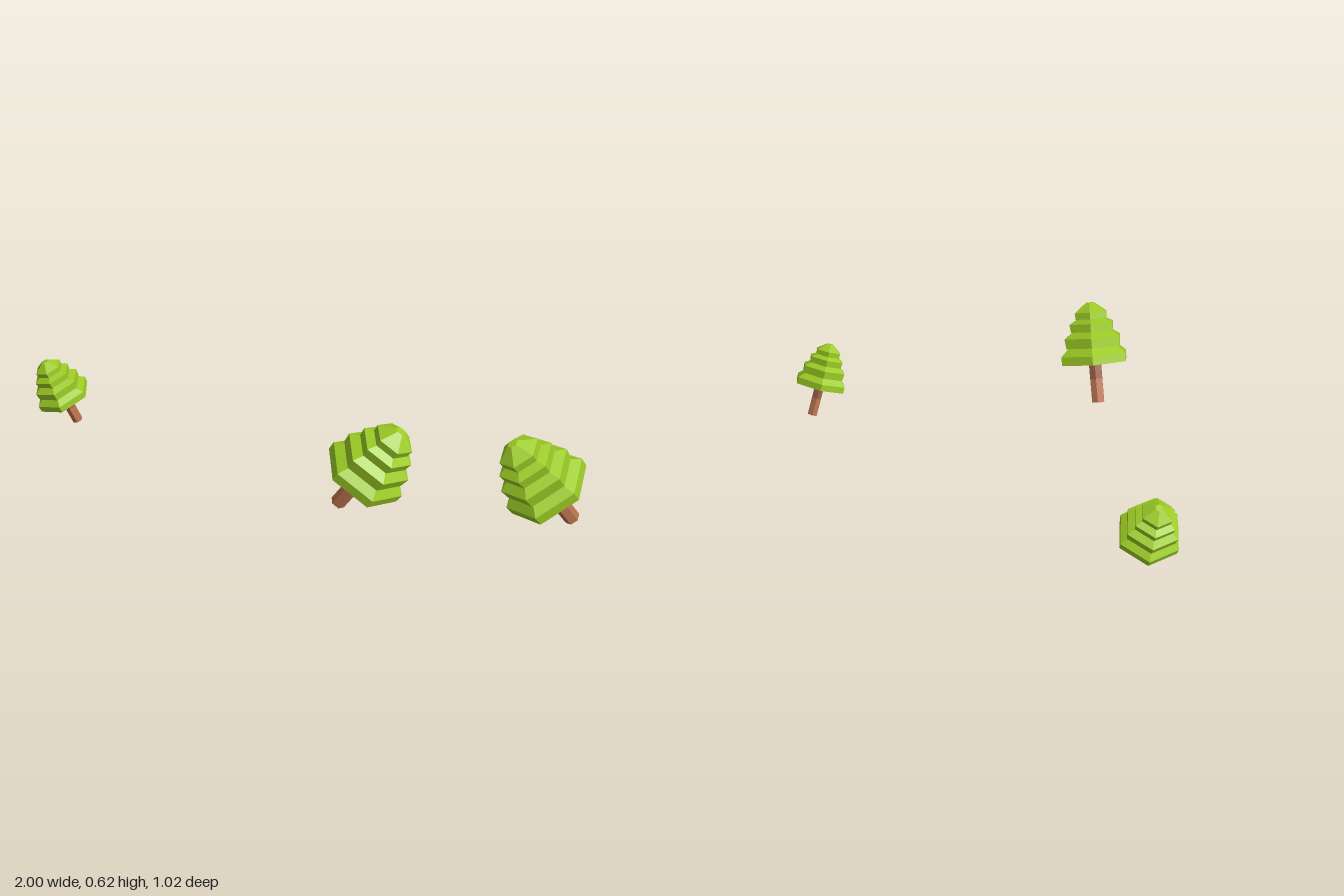
import * as THREE from 'three';

const SIDES = 6;
const TRUNK_R = 0.043;

const leafGreen = new THREE.MeshStandardMaterial({ color: 0x9ccb25 });
const trunkBrown = new THREE.MeshStandardMaterial({ color: 0xbd7450 });
const trunkDark = new THREE.MeshStandardMaterial({ color: 0x9a5f48 });
leafGreen.name = 'leafGreen';
trunkBrown.name = 'trunkBrown';
trunkDark.name = 'trunkDark';

// Faceted six-sided solid from a profile of [radius, height] pairs, bottom to top
function hexLathe(name, profile, material) {
  const points = profile.map(([r, h]) => new THREE.Vector2(r, h));
  const geometry = new THREE.LatheGeometry(points, SIDES).toNonIndexed();
  geometry.computeVertexNormals();
  const mesh = new THREE.Mesh(geometry, material);
  mesh.name = name;
  return mesh;
}

// Foliage tiers: bottom height, top height, bottom radius, top radius, radius where the next tier begins
const TIERS = [
  [0.253, 0.306, 0.226, 0.228, 0.174],
  [0.352, 0.412, 0.188, 0.195, 0.136],
  [0.448, 0.497, 0.147, 0.153, 0.098],
  [0.524, 0.564, 0.108, 0.111, 0.028],
];
const TOP = 0.622;

function makeTree(name, base, axis, side, scale) {
  const tree = new THREE.Group();
  tree.name = name;

  // Foliage: stepped tiers closed by a small flat top
  const profile = [[0, TIERS[0][0]]];
  TIERS.forEach(([h0, h1, r0, r1, inner], i) => {
    const next = i + 1 < TIERS.length ? TIERS[i + 1][0] : TOP;
    profile.push([r0, h0], [r1, h1], [inner, next]);
  });
  profile.push([0, TOP]);
  tree.add(hexLathe('foliage', profile, leafGreen));

  // Trunk: lower part, darker upper part and green foot
  tree.add(hexLathe('lowerTrunk', [[TRUNK_R, 0], [TRUNK_R, 0.15]], trunkBrown));
  tree.add(hexLathe('upperTrunk', [[TRUNK_R, 0.15], [TRUNK_R, 0.254]], trunkDark));
  tree.add(hexLathe('trunkFoot', [[0, 0], [TRUNK_R, 0]], leafGreen));

  // Lean the tree along its axis, with one corner of the hexagon towards side
  const y = new THREE.Vector3(...axis).normalize();
  const x = new THREE.Vector3().crossVectors(y, new THREE.Vector3(...side)).normalize();
  const z = new THREE.Vector3().crossVectors(x, y);
  tree.quaternion.setFromRotationMatrix(new THREE.Matrix4().makeBasis(x, y, z));
  tree.position.set(...base);
  tree.scale.setScalar(scale);
  return tree;
}

export function createModel() {
  const model = new THREE.Group();
  model.name = 'leaningTrees';
  model.add(makeTree('largeTree', [0.664, 0.019, 0.233], [0.427, 0.89, 0.16], [-0.05, -0.16, 0.985], 1));
  model.add(makeTree('smallTree', [-0.792, 0.208, -0.351], [-0.342, 0.94, 0], [0, 0, 1], 0.693));
  return model;
}
